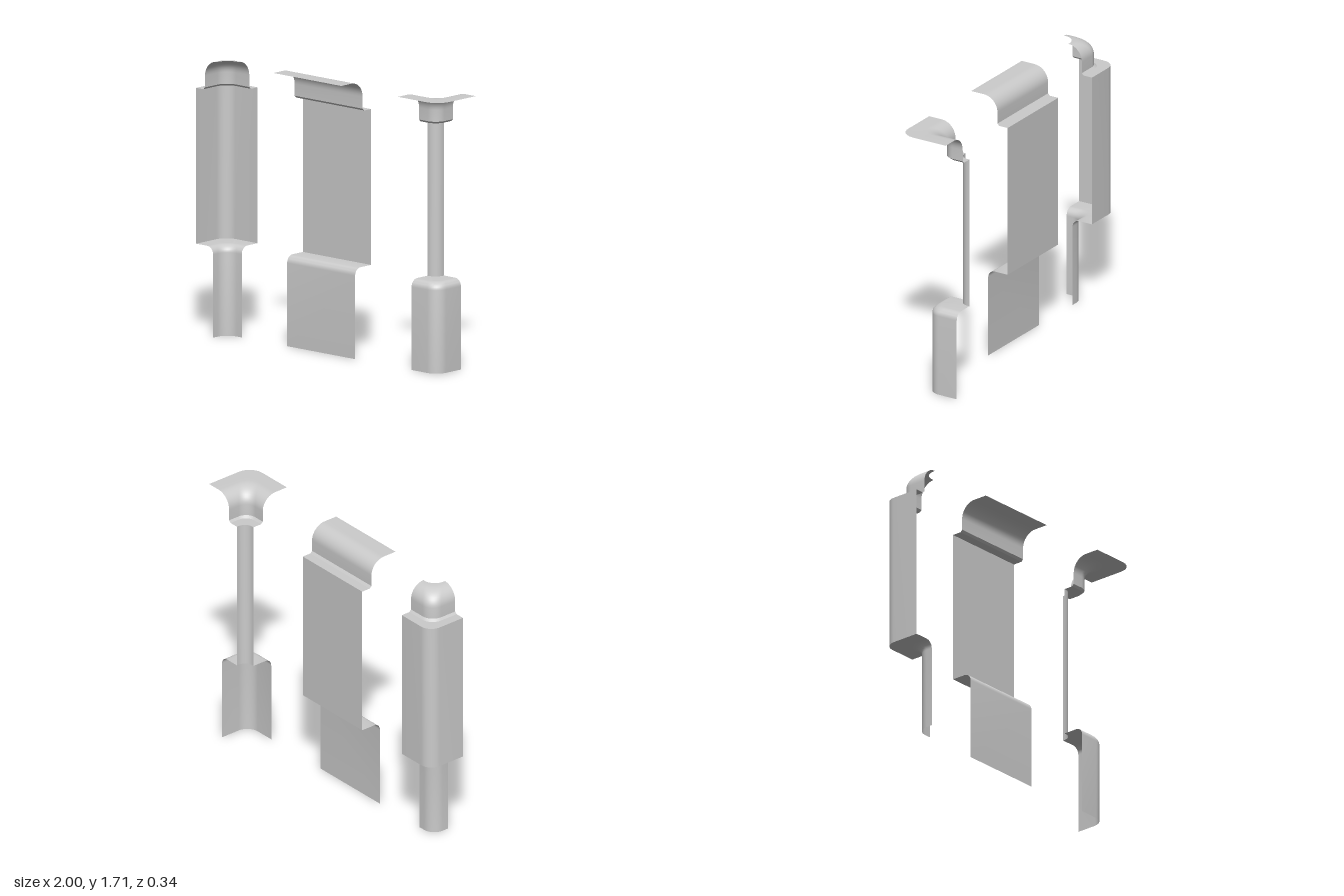
import * as THREE from 'three';
import { toCreasedNormals } from 'three/addons/utils/BufferGeometryUtils.js';

const material = new THREE.MeshStandardMaterial({ color: 0xcccccc, side: THREE.DoubleSide });
const WALL_Z = -0.095, END_Z = 0.168;

// Quarter arc between two points; c is the sharp corner it rounds off
function roundCorner(a, c, b, steps) {
  const o = [a[0] + b[0] - c[0], a[1] + b[1] - c[1]];
  return Array.from({ length: steps + 1 }, (_, i) => {
    const t = (i / steps) * Math.PI / 2, s = Math.sin(t), k = Math.cos(t);
    return [o[0] + (a[0] - o[0]) * k + (b[0] - o[0]) * s,
            o[1] + (a[1] - o[1]) * k + (b[1] - o[1]) * s];
  });
}

// Wall section as [distance out from the wall, height]
const base = [[0.14, 0], ...roundCorner([0.14, 0.515], [0.14, 0.562], [0.093, 0.562], 8), [0, 0.562]];
const panel = [[0, 0.562], [0, 1.527]];
const coveToCeiling = [[0, 1.527], [0.06, 1.527], [0.073, 1.54],
  ...roundCorner([0.073, 1.613], [0.073, 1.71], [0.17, 1.71], 10)];
const cornice = [...coveToCeiling, [0.263, 1.71]];

// Plan paths [x, z] at a given distance out from the wall
const straightPlan = d => [[-0.362, WALL_Z + d], [0.2, WALL_Z + d]];

const innerPlan = d => {
  const x = -1 + d, z = WALL_Z + d, r = 0.08;
  return [[x, END_Z], ...roundCorner([x, z + r], [x, z], [x + r, z], 10), [-0.737, z]];
};

const outerPlan = d => {
  const x = 0.737 + d, z = WALL_Z + d, r = 0.06 + 0.15 * d;
  return [[0.667, z], ...roundCorner([x - r, z], [x, z], [x, z - r], 10), [x, -END_Z]];
};

// Skin the section along the plan path
function sweep(name, section, plan) {
  const rows = section.map(([d, y]) => plan(d).map(([x, z]) => [x, y, z]));
  const n = rows[0].length, index = [];
  for (let j = 0; j < rows.length - 1; j++) {
    for (let i = 0; i < n - 1; i++) {
      const a = j * n + i, b = a + 1, c = a + n, e = c + 1;
      index.push(a, b, e, a, e, c);
    }
  }
  const geometry = new THREE.BufferGeometry();
  geometry.setAttribute('position', new THREE.Float32BufferAttribute(rows.flat(2), 3));
  geometry.setIndex(index);
  const mesh = new THREE.Mesh(toCreasedNormals(geometry, 0.55), material);
  mesh.name = name;
  return mesh;
}

function wallPiece(name, plan, top) {
  const group = new THREE.Group();
  group.name = name;
  group.add(sweep('base', base, plan), sweep('panel', panel, plan), sweep('cornice', top, plan));
  return group;
}

export function createModel() {
  const model = new THREE.Group();
  model.name = 'wallTrimSet';
  model.add(
    wallPiece('innerCorner', innerPlan, coveToCeiling),
    wallPiece('straightWall', straightPlan, cornice),
    wallPiece('outerCorner', outerPlan, cornice),
  );
  return model;
}
